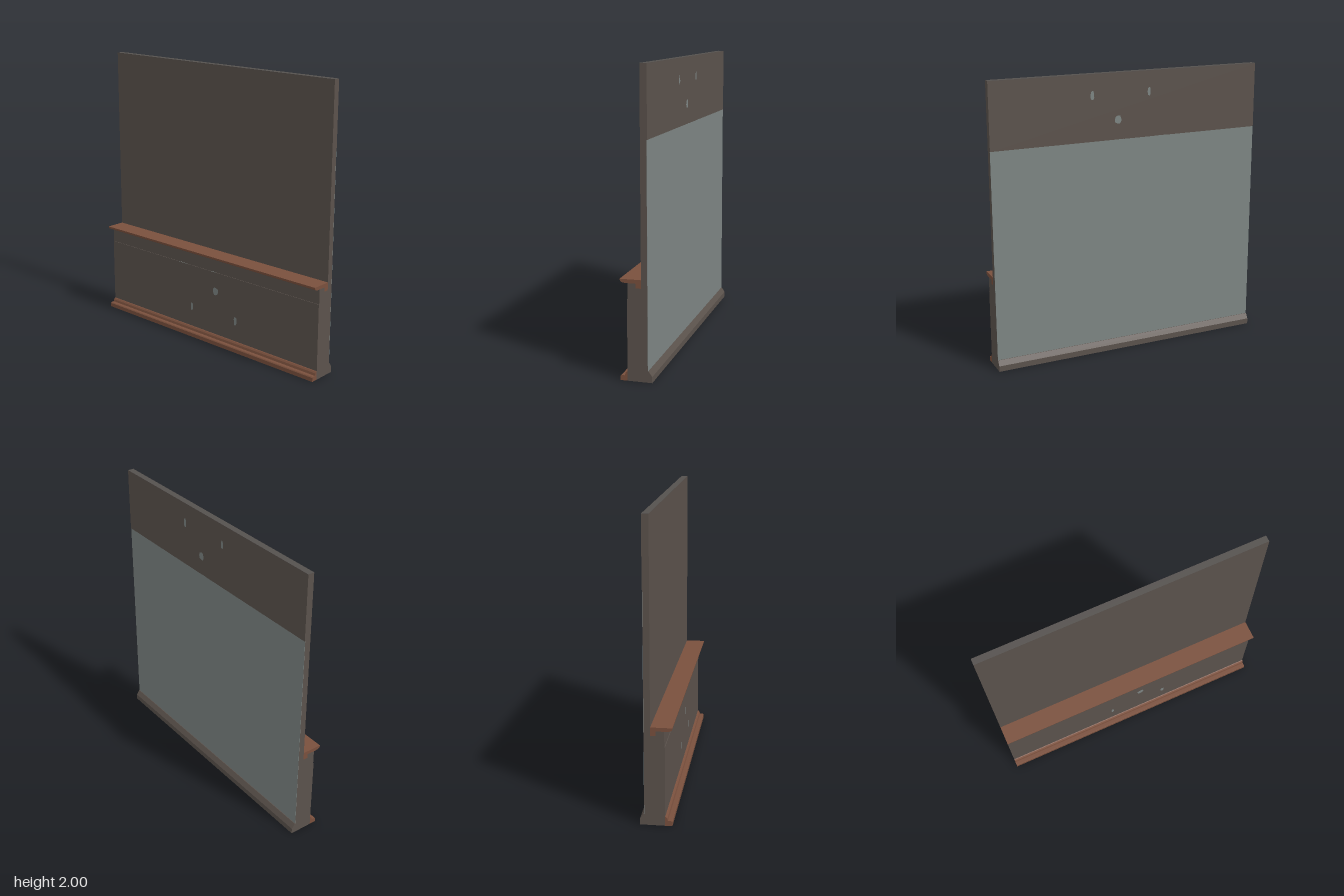
import * as THREE from 'three';

const mat = (name, color) => {
  const m = new THREE.MeshStandardMaterial({ color });
  m.name = name;
  return m;
};

export function createModel() {
  const group = new THREE.Group();
  group.name = 'wallSection';
  const plaster = mat('brown plaster', 0x5b524c);
  const wood = mat('red brown wood', 0x7a503d);
  const stone = mat('bare grey', 0x7d8583);
  const edge = mat('grey brown edge', 0x55514e);

  const add = (name, geometry, material) => {
    const mesh = new THREE.Mesh(geometry, material);
    mesh.name = name;
    group.add(mesh);
    return mesh;
  };

  // Runs a (z, y) profile along the full width of the wall
  const run = (name, points, material) => {
    const shape = new THREE.Shape(points.map(([z, y]) => new THREE.Vector2(z, y)));
    const g = new THREE.ExtrudeGeometry(shape, { depth: 2, bevelEnabled: false });
    g.rotateY(-Math.PI / 2).translate(1, 0, 0);
    return add(name, g, material);
  };

  // Upper wall with its sloped rear foot
  run('upperWall', [
    [-0.035, 0], [-0.035, 1.998], [-0.08, 1.998], [-0.08, 1.54], [-0.076, 1.54],
    [-0.076, 0.075], [-0.082, 0.075], [-0.105, 0.04], [-0.105, 0],
  ], plaster);
  run('wallTopEdge', [[-0.035, 1.998], [-0.035, 2], [-0.08, 2], [-0.08, 1.998]], edge);

  // Thick lower wall, with a slightly proud panel below its ledge
  run('lowerWall', [
    [-0.035, 0], [0.058, 0], [0.058, 0.535], [0.054, 0.535], [0.054, 0.64],
    [0, 0.64], [0, 0.61], [-0.035, 0.61],
  ], plaster);

  // Moulded shelf with a tongue set into the wall
  run('shelf', [
    [-0.035, 0.61], [0, 0.61], [0, 0.64], [0.07, 0.64], [0.09, 0.643],
    [0.102, 0.65], [0.105, 0.665], [-0.035, 0.665],
  ], wood);

  // Stepped baseboard
  run('baseboard', [
    [0.058, 0], [0.105, 0], [0.105, 0.028], [0.1, 0.034], [0.076, 0.034],
    [0.072, 0.05], [0.064, 0.06], [0.058, 0.062],
  ], wood);

  // Bare rear face
  const back = add('rearPanel', new THREE.BoxGeometry(2, 1.465, 0.002), stone);
  back.position.set(0, 0.8075, -0.077);

  // Chips in the plaster, repeated upside down on the rear strip
  const chips = [
    [0.085, 0.392, 0.026, 0.03],
    [-0.15, 0.215, 0.012, 0.032],
    [0.275, 0.215, 0.014, 0.034],
  ];
  const chip = (name, rx, ry) => {
    const pts = [];
    for (let i = 0; i < 9; i++) {
      const a = (i / 9) * Math.PI * 2;
      const r = 1 + 0.1 * Math.sin(i * 2.3);
      pts.push(new THREE.Vector2(Math.cos(a) * rx * r, Math.sin(a) * ry * r));
    }
    return add(name, new THREE.ShapeGeometry(new THREE.Shape(pts)), stone);
  };
  for (const [x, y, rx, ry] of chips) {
    chip('frontChip', rx, ry).position.set(x, y, 0.0588);
    const rear = chip('rearChip', rx, ry);
    rear.rotation.x = Math.PI;
    rear.position.set(x, 2.07 - y, -0.0808);
  }

  // Worn spots along the panel ledges
  for (const [x, w] of [[-0.24, 0.09], [0.06, 0.04]]) {
    const front = add('frontLedgeChip', new THREE.BoxGeometry(w, 0.002, 0.004), stone);
    front.position.set(x, 0.535, 0.056);
    const rear = add('rearLedgeChip', new THREE.BoxGeometry(w, 0.002, 0.004), stone);
    rear.position.set(x, 1.54, -0.078);
  }

  return group;
}
